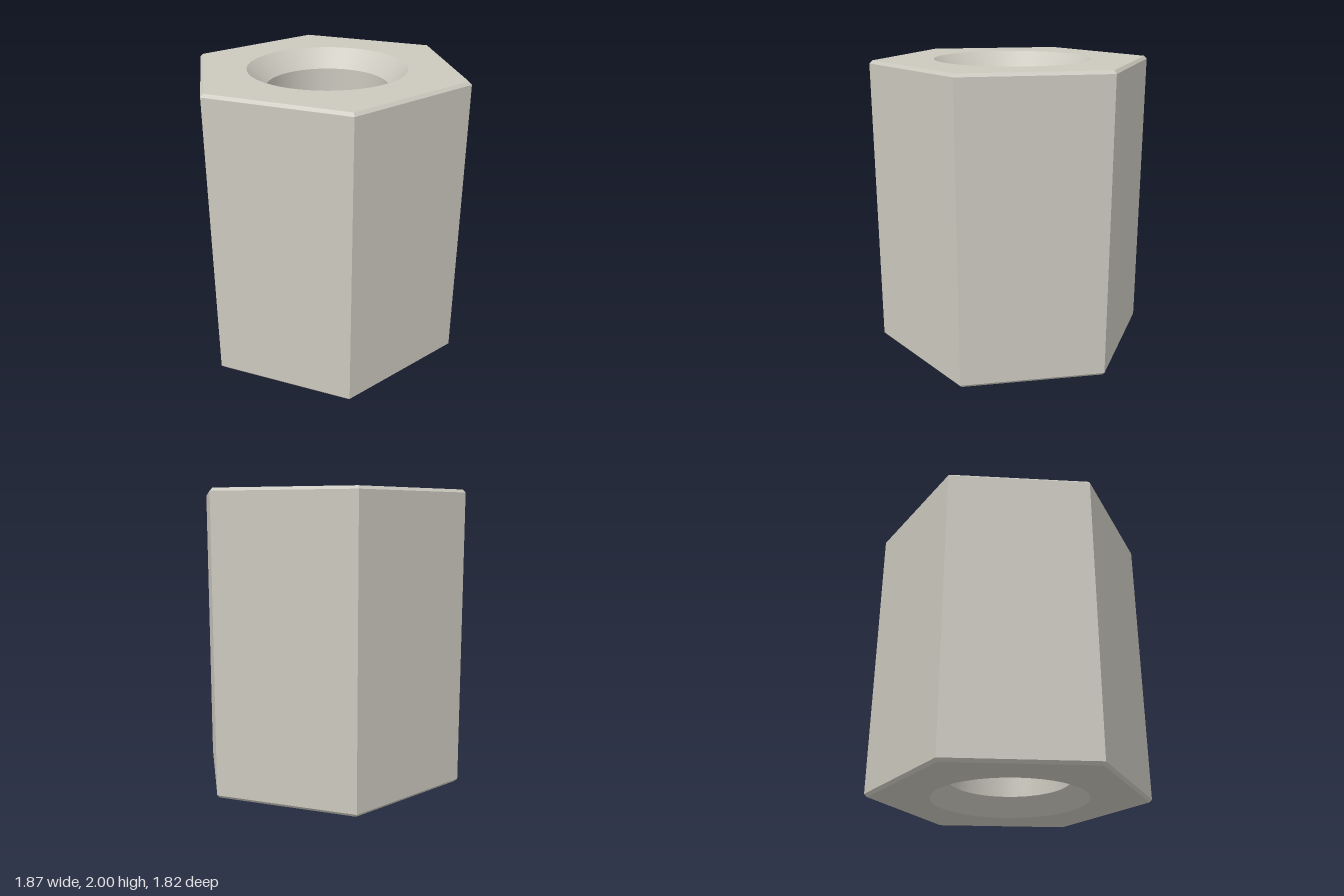
import * as THREE from 'three';

const HEIGHT = 2;
const HEX_R = 0.956;      // corner radius
const CHAMFER = 0.02;
const BORE_R = 0.41;
const SINK_R = 0.53;
const SINK_DEPTH = 0.125;
const TWIST = THREE.MathUtils.degToRad(12.07); // first corner, from +x towards +z
const SEGMENTS = 96;

export function createModel() {
  const group = new THREE.Group();
  group.name = 'hexSpacer';
  const metal = new THREE.MeshStandardMaterial({ color: 0xcbc8be });
  metal.name = 'warm grey metal';

  const add = (name, geometry) => {
    const mesh = new THREE.Mesh(geometry, metal);
    mesh.name = name;
    group.add(mesh);
  };
  const lathe = (profile, segments, start = 0) => new THREE.LatheGeometry(
    profile.map(([r, y]) => new THREE.Vector2(r, y)), segments, start);

  // Six flat walls with small chamfers at both ends
  const walls = lathe([
    [HEX_R - CHAMFER, 0], [HEX_R, CHAMFER],
    [HEX_R, HEIGHT - CHAMFER], [HEX_R - CHAMFER, HEIGHT],
  ], 6, Math.PI / 2 - TWIST).toNonIndexed();
  walls.computeVertexNormals();
  add('hexWalls', walls);

  // Hexagonal end faces with a round opening; side is 1 for top, -1 for bottom
  const endFace = (side) => {
    const corners = [];
    for (let i = 0; i < 6; i++) {
      const a = -side * (TWIST + i * Math.PI / 3);
      const r = HEX_R - CHAMFER;
      corners.push(new THREE.Vector2(r * Math.cos(a), r * Math.sin(a)));
    }
    const shape = new THREE.Shape(corners);
    shape.holes.push(new THREE.Path().absarc(0, 0, SINK_R, 0, Math.PI * 2, true));
    return new THREE.ShapeGeometry(shape, SEGMENTS / 2)
      .rotateX(-side * Math.PI / 2)
      .translate(0, side > 0 ? HEIGHT : 0, 0);
  };
  add('topFace', endFace(1));
  add('bottomFace', endFace(-1));

  // Through bore and its countersinks, facing the axis
  add('topCountersink', lathe([[SINK_R, HEIGHT], [BORE_R, HEIGHT - SINK_DEPTH]], SEGMENTS));
  add('bore', lathe([[BORE_R, HEIGHT - SINK_DEPTH], [BORE_R, SINK_DEPTH]], SEGMENTS));
  add('bottomCountersink', lathe([[BORE_R, SINK_DEPTH], [SINK_R, 0]], SEGMENTS));

  return group;
}
